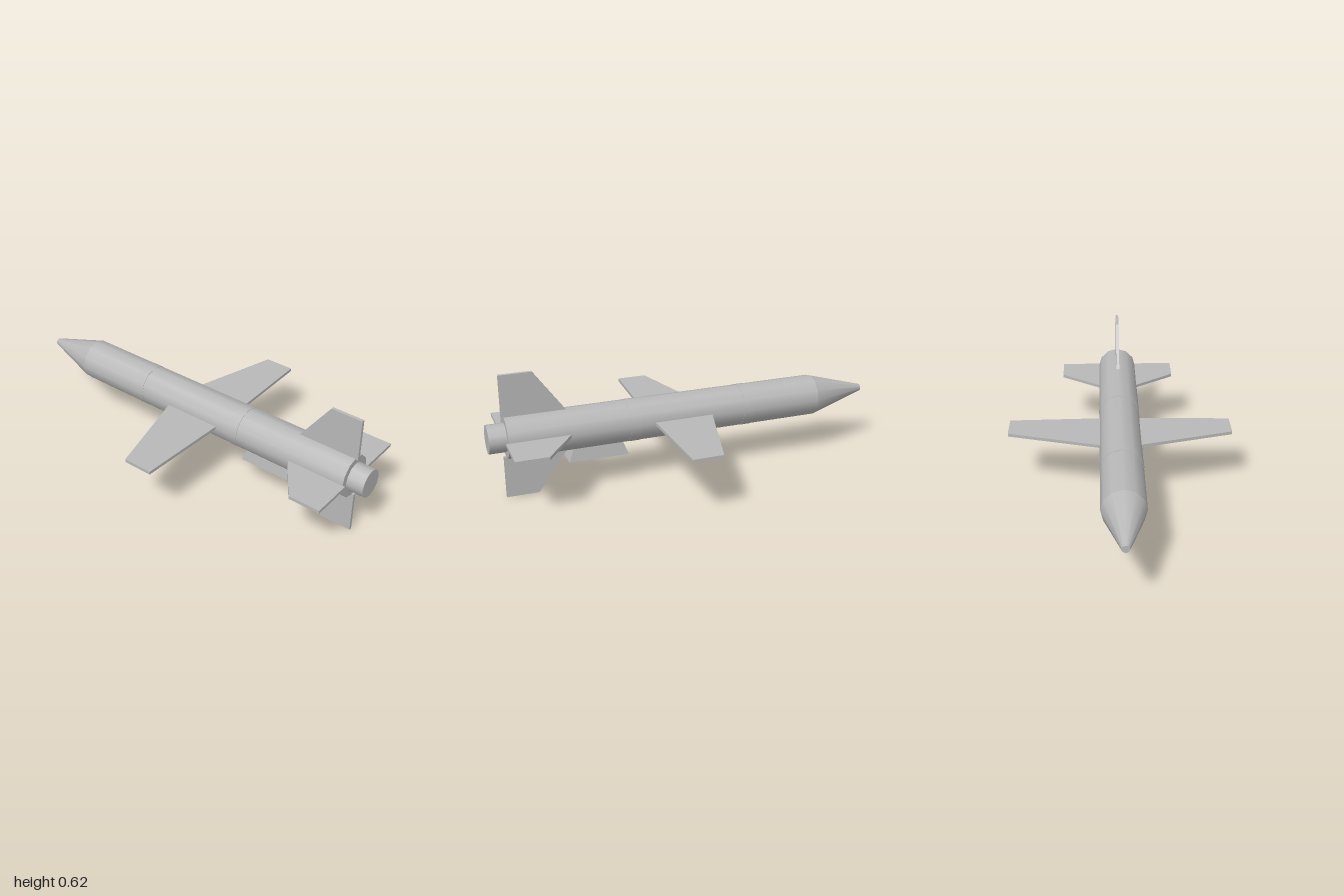
import * as THREE from 'three';

const AXIS_Y = 0.312;   // height of the body axis
const SIDES = 12;

export function createModel() {
  const model = new THREE.Group();
  const grey = new THREE.MeshStandardMaterial({ color: 0xb8b8b8 });
  grey.name = 'light grey';

  function add(name, geometry) {
    const mesh = new THREE.Mesh(geometry, grey);
    mesh.name = name;
    mesh.position.y = AXIS_Y;
    model.add(mesh);
    return mesh;
  }

  // Round section along z, from z0 (radius r0) back to z1 (radius r1)
  function section(name, z0, r0, z1, r1) {
    const g = new THREE.CylinderGeometry(r1, r0, z1 - z0, SIDES);
    g.rotateX(Math.PI / 2);
    g.translate(0, 0, (z0 + z1) / 2);
    add(name, g);
  }

  section('noseCone', -1, 0.018, -0.7, 0.105);
  section('body', -0.7, 0.105, 0.915, 0.105);
  section('nozzle', 0.9, 0.071, 1, 0.071);
  section('frontBand', -0.335, 0.1065, -0.28, 0.1065);
  section('rearBand', 0.265, 0.1065, 0.32, 0.1065);

  // Flat blade from [span, z] corners, turned about the body axis
  function blade(name, corners, angle) {
    const shape = new THREE.Shape(corners.map(([x, z]) => new THREE.Vector2(x, z)));
    const depth = 0.016;
    const g = new THREE.ExtrudeGeometry(shape, { depth, bevelEnabled: false });
    g.rotateX(Math.PI / 2);
    g.translate(0, depth / 2, 0);
    add(name, g).rotation.z = angle;
  }

  const wing = [[0.098, -0.105], [0.57, 0.03], [0.57, 0.18], [0.098, 0.196]];
  blade('leftWing', wing, 0);
  blade('rightWing', wing, Math.PI);

  const fin = [[0.1, 0.615], [0.312, 0.768], [0.312, 0.927], [0.1, 0.927]];
  ['leftFin', 'topFin', 'rightFin', 'bottomFin'].forEach((name, i) =>
    blade(name, fin, i * Math.PI / 2));

  // Air intake: a box narrowing upward into the belly
  const intake = new THREE.BoxGeometry(0.096, 0.08, 0.3);
  const p = intake.attributes.position;
  for (let i = 0; i < p.count; i++) {
    if (p.getY(i) > 0) {
      p.setX(i, p.getX(i) * 0.74);
      p.setZ(i, p.getZ(i) * 0.8);
    }
  }
  intake.computeVertexNormals();
  add('intake', intake).position.set(0, 0.19, 0.47);

  return model;
}
